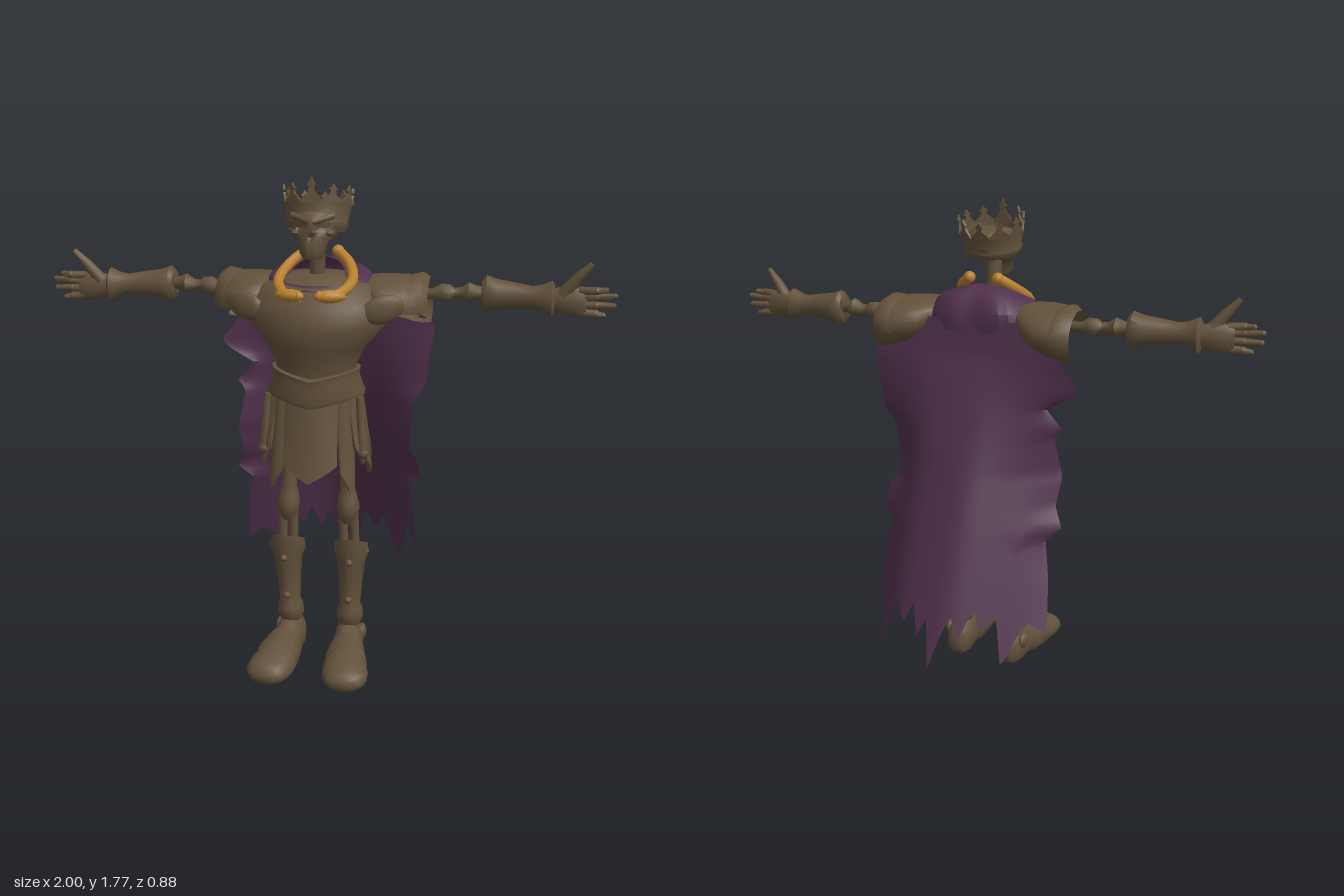
import * as THREE from 'three';
import { toCreasedNormals } from 'three/addons/utils/BufferGeometryUtils.js';

const V = (x, y, z) => new THREE.Vector3(x, y, z);
const material = (name, color) => new THREE.MeshStandardMaterial({ name, color, side: THREE.DoubleSide });

// Skin a grid of points; optional closing of the rows and end caps
function skin(rows, closed, caps) {
  const n = rows[0].length, m = rows.length, pts = rows.flat(), idx = [];
  for (let i = 0; i < m - 1; i++) for (let j = 0; j < (closed ? n : n - 1); j++) {
    const k = (j + 1) % n, a = i * n + j, b = i * n + k, c = b + n, d = a + n;
    idx.push(a, b, c, a, c, d);
  }
  if (caps) for (const [i, flip] of [[0, true], [m - 1, false]]) {
    const mid = V(0, 0, 0);
    rows[i].forEach(p => mid.addScaledVector(p, 1 / n));
    const c = pts.push(mid) - 1;
    for (let j = 0; j < n; j++) {
      const a = i * n + j, b = i * n + (j + 1) % n;
      flip ? idx.push(c, b, a) : idx.push(c, a, b);
    }
  }
  const g = new THREE.BufferGeometry().setFromPoints(pts);
  g.setIndex(idx);
  return g;
}

// Elliptic sections along an axis: [s, centre1, centre2, radius1, radius2], axes in cyclic order
function tube(axis, rows, n = 14, arc = null) {
  const k = 'xyz'.indexOf(axis);
  const [a0, a1] = arc || [0, Math.PI * 2];
  return skin(rows.map(([s, c1, c2, r1, r2 = r1]) => Array.from({ length: n }, (_, j) => {
    const a = a0 + (a1 - a0) * j / (arc ? n - 1 : n), p = V(0, 0, 0);
    p.setComponent(k, s);
    p.setComponent((k + 1) % 3, c1 + r1 * Math.cos(a));
    p.setComponent((k + 2) % 3, c2 + r2 * Math.sin(a));
    return p;
  })), !arc, !arc);
}

function bone(a, b, r1, r2 = r1) {
  const d = b.clone().sub(a), g = new THREE.CylinderGeometry(r2, r1, d.length(), 8);
  g.applyQuaternion(new THREE.Quaternion().setFromUnitVectors(V(0, 1, 0), d.clone().normalize()));
  return g.translate(...a.clone().add(b).multiplyScalar(0.5).toArray());
}

const ball = (x, y, z, rx, ry = rx, rz = rx) =>
  new THREE.SphereGeometry(1, 12, 8).scale(rx, ry, rz).translate(x, y, z);

function mirrored(g) {
  const m = g.clone().scale(-1, 1, 1);
  const ix = m.index ? [...m.index.array] : Array.from({ length: m.attributes.position.count }, (_, i) => i);
  for (let i = 0; i < ix.length; i += 3) [ix[i], ix[i + 1]] = [ix[i + 1], ix[i]];
  m.setIndex(ix);
  return m;
}

// Piecewise linear lookup in [key, value] pairs
function lookup(list, k) {
  if (k <= list[0][0]) return list[0][1];
  for (let i = 1; i < list.length; i++) if (k <= list[i][0]) {
    const [a, va] = list[i - 1], [b, vb] = list[i];
    return va + (vb - va) * (k - a) / (b - a);
  }
  return list[list.length - 1][1];
}

export function createModel() {
  const model = new THREE.Group();
  const bronze = material('tarnished bronze', 0x62513b);
  const purple = material('purple cloth', 0x50304b);
  const gold = material('old gold', 0xb8802f);
  const add = (name, g, mat = bronze) => {
    const mesh = new THREE.Mesh(toCreasedNormals(g, 0.85), mat);
    mesh.name = name;
    model.add(mesh);
  };
  const pair = (name, g, mat) => { add(name + 'Left', g, mat); add(name + 'Right', mirrored(g), mat); };

  // Skull with sunken eye sockets and nose
  const skull = tube('y', [[1.5, .235, 0, .035, .032], [1.52, .237, 0, .042, .043], [1.555, .222, 0, .052, .052],
    [1.572, .175, 0, .1, .072], [1.59, .166, 0, .11, .083], [1.605, .162, 0, .113, .086], [1.62, .16, 0, .115, .089],
    [1.635, .158, 0, .112, .09], [1.655, .155, 0, .1, .085], [1.67, .15, 0, .075, .065], [1.68, .15, 0, .03, .03]], 36);
  const sp = skull.attributes.position;
  for (let i = 0; i < sp.count; i++) {
    const p = V().fromBufferAttribute(sp, i);
    if (p.z < .2) continue;
    const eye = Math.exp(-(((Math.abs(p.x) - .038) / .016) ** 2 + ((p.y - 1.608) / .016) ** 2));
    const nose = Math.exp(-((p.x / .01) ** 2 + ((p.y - 1.572) / .012) ** 2));
    sp.setZ(i, p.z - .035 * eye - .02 * nose);
  }
  add('skull', skull);
  pair('brow', bone(V(.005, 1.622, .268), V(.07, 1.642, .232), .011));
  pair('cheekbone', ball(.056, 1.585, .225, .018, .012, .03));
  add('neck', tube('y', [[1.38, .145, 0, .03], [1.44, .155, 0, .026], [1.5, .16, 0, .028], [1.6, .165, 0, .03]]));

  // Tilted crown: flaring band and a ring of finials
  const place = g => g.rotateX(-.2).translate(0, 1.6, .157);
  add('crownBand', place(tube('y', [[-.015, 0, 0, .096], [.005, 0, 0, .106], [.015, 0, 0, .102], [.075, 0, 0, .116]], 31, [0, Math.PI * 2])));
  const finial = new THREE.Shape([[-.037, -.012], [.037, -.012], [.03, .002], [.012, .02], [.008, .034], [.016, .041], [.007, .05],
    [0, .066], [-.007, .05], [-.016, .041], [-.008, .034], [-.012, .02], [-.03, .002]].map(p => new THREE.Vector2(...p)));
  for (let i = 0; i < 10; i++) {
    const g = new THREE.ExtrudeGeometry(finial, { depth: .008, bevelEnabled: false });
    g.scale(1, i ? .8 : 1.1, 1).rotateX(.1).translate(0, .077, .108).rotateY(i * Math.PI / 5);
    add('crownFinial', place(g));
  }

  // Gold collar: two curved halves with heavy front ends
  const half = [[.03, 1.383, .298], [.09, 1.388, .278], [.126, 1.422, .19], [.1, 1.47, .105], [.058, 1.503, .068]];
  pair('collar', new THREE.TubeGeometry(new THREE.CatmullRomCurve3(half.map(p => V(...p))), 28, .019, 8), gold);
  pair('collarClasp', ball(0, 0, 0, .054, .022, .024).rotateY(.25).translate(.068, 1.383, .288), gold);
  pair('collarEnd', ball(.055, 1.504, .066, .022), gold);

  // Cuirass and belt
  add('cuirass', tube('y', [[1.07, .175, 0, .1, .135], [1.14, .18, 0, .1, .142], [1.2, .167, 0, .14, .175],
    [1.27, .16, 0, .163, .235], [1.34, .15, 0, .155, .245], [1.4, .14, 0, .125, .2], [1.44, .12, 0, .07, .1]], 28));
  const belt = tube('y', [[1.03, .18, 0, .112, .17], [1.045, .18, 0, .118, .172], [1.1, .178, 0, .108, .15], [1.125, .178, 0, .112, .155]], 28);
  const bp = belt.attributes.position;
  for (let i = 0; i < bp.count; i++) {
    const f = Math.max(0, 1 - Math.abs(bp.getX(i)) / .16);
    if (bp.getZ(i) > .19) bp.setXYZ(i, bp.getX(i), bp.getY(i) - .035 * f, bp.getZ(i) + .008 * f);
  }
  add('belt', belt);
  add('pelvis', ball(0, .99, .165, .12, .07, .07));

  // Skirt of hanging pointed plates
  function plate(angle, spread, length, lift = 0) {
    const g = new THREE.BoxGeometry(1, 1, .014, 4, 5, 1), p = g.attributes.position;
    for (let i = 0; i < p.count; i++) {
      const u = p.getX(i) * 2, v = .5 - p.getY(i), a = angle + u * spread * (1 - .15 * v);
      const grow = p.getZ(i) + lift + .012 * (1 - u * u);
      const rx = .145 + .035 * v + grow, rz = .095 + .045 * v + grow;
      p.setXYZ(i, rx * Math.sin(a), 1.05 - v * (length - .06 * Math.abs(u) * v), .175 + rz * Math.cos(a));
    }
    return g;
  }
  add('frontTasset', plate(0, .62, .31, .004));
  add('rearTasset', plate(Math.PI, .4, .29));
  [[.78, .34], [1.12, .25], [1.5, .3], [1.88, .26], [2.25, .31], [2.6, .27]].forEach(([a, l]) => pair('skirtStrip', plate(a, .19, l)));
  pair('skirtRod', bone(V(.16, 1.03, .23), V(.176, .84, .24), .013, .018));
  pair('skirtRodEnd', ball(.176, .835, .24, .02, .022, .02));

  // Shoulders: layered domed guards hanging lower behind
  const arc = [-2.55, 1.75];
  pair('shoulderGuard', tube('x', [[.16, 1.375, .07, .05, .1], [.2, 1.355, .07, .075, .15], [.25, 1.34, .067, .09, .168],
    [.3, 1.333, .055, .095, .158], [.325, 1.33, .045, .09, .145]], 20, arc));
  pair('shoulderRim', tube('x', [[.275, 1.33, .05, .085, .148], [.31, 1.33, .045, .098, .15], [.345, 1.33, .035, .105, .135], [.372, 1.325, .025, .092, .11]], 20, arc));
  pair('shoulderFrontPlate', ball(0, 0, 0, .075, .048, .02).rotateZ(.3).rotateY(.25).translate(.235, 1.335, .23));

  // Arms: bare bones, elbow knuckles, flared gauntlets
  pair('upperArm', tube('x', [[.18, 1.37, .03, .03], [.3, 1.365, .03, .02], [.38, 1.36, .03, .018], [.41, 1.365, .03, .032],
    [.44, 1.365, .03, .03], [.455, 1.365, .03, .018], [.48, 1.365, .03, .022], [.505, 1.37, .03, .035], [.53, 1.37, .03, .024], [.57, 1.37, .03, .02]], 10));
  pair('gauntlet', tube('x', [[.55, 1.365, .03, .052, .045], [.565, 1.365, .03, .066, .054], [.6, 1.365, .032, .054, .049], [.66, 1.365, .038, .045, .04],
    [.72, 1.362, .045, .038, .034], [.75, 1.36, .049, .046, .04], [.785, 1.358, .05, .064, .046], [.795, 1.358, .05, .045, .035]], 14));
  pair('palm', tube('x', [[.78, 1.357, .052, .036, .026], [.83, 1.357, .058, .05, .027], [.88, 1.352, .063, .05, .023], [.9, 1.352, .064, .042, .017]], 12));
  [[1.392, .96, 1.397], [1.37, .99, 1.378], [1.345, .987, 1.346], [1.32, .955, 1.312]].forEach(([y0, x, y], i) => {
    const knuckle = V(.93, (y0 + y) / 2, .075 - i * .003), tip = V(x, y, .07);
    pair('finger', bone(V(.875, y0, .064), knuckle, .015, .014));
    pair('fingerKnuckle', ball(...knuckle.toArray(), .0145));
    pair('fingerEnd', bone(knuckle, tip, .013, .01));
    pair('fingerTip', ball(...tip.toArray(), .0105));
  });
  pair('thumb', bone(V(.82, 1.375, .06), V(.87, 1.44, .072), .025, .018));
  pair('thumbEnd', bone(V(.868, 1.437, .072), V(.91, 1.484, .08), .018, .01));

  // Legs: thigh bone, knee, shin bones, greave
  pair('thigh', tube('y', [[.54, .15, .11, .024], [.57, .152, .11, .038, .034], [.6, .152, .11, .045, .042], [.635, .15, .108, .036],
    [.67, .15, .107, .027], [.8, .155, .105, .028], [.98, .16, .1, .034]], 10));
  [.095, .135].forEach(x => pair('shinBone', bone(V(x, .42, .145), V(x - .005, .58, .15), .017)));
  const greave = tube('y', [[.13, .12, .112, .04, .038], [.16, .12, .112, .056, .05], [.19, .122, .113, .056, .046], [.21, .124, .113, .047, .038],
    [.3, .127, .116, .054, .043], [.39, .128, .118, .062, .052], [.42, .13, .118, .073, .065], [.46, .13, .118, .075, .06]], 16);
  const gp = greave.attributes.position;
  for (let i = 0; i < gp.count; i++) if (gp.getY(i) > .41) gp.setY(i, gp.getY(i) + (gp.getZ(i) - .13) * .45);
  pair('greave', greave);
  [[.12, .4, .192], [.115, .245, .174], [.172, .43, .14]].forEach(p => pair('greaveStud', ball(...p, .014)));

  // Armoured feet in overlapping plates, flat underneath
  const foot = tube('z', [[.04, .108, .055, .022, .035], [.06, .108, .058, .042, .07], [.11, .11, .065, .054, .088], [.16, .113, .062, .054, .08],
    [.2, .118, .055, .058, .07], [.205, .118, .055, .066, .077], [.28, .126, .05, .078, .075], [.285, .126, .047, .072, .067], [.33, .132, .044, .084, .057],
    [.38, .138, .04, .08, .047], [.415, .138, .038, .06, .033], [.43, .135, .038, .035, .018]], 16);
  const fp = foot.attributes.position;
  for (let i = 0; i < fp.count; i++) fp.setY(i, Math.max(0, fp.getY(i)));
  pair('foot', foot);
  pair('ankleGuard', ball(.155, .09, .105, .018, .032, .032));

  // Shoulder drape with a heart-shaped back edge
  const ring = (rx, zc, rz, y, slope, notch) => Array.from({ length: 36 }, (_, j) => {
    const a = j / 36 * Math.PI * 2, c = Math.cos(a), s = Math.sin(a);
    return V(rx * s, y - slope * c, zc + rz * c + notch * Math.exp(-((a - Math.PI) ** 2) / .08));
  });
  add('shoulderDrape', skin([ring(.22, .08, .145, 1.34, -.01, .02), ring(.21, .08, .16, 1.39, .01, .035), ring(.17, .105, .145, 1.435, .025, .03),
    ring(.12, .15, .12, 1.44, .045, .01), ring(.095, .17, .105, 1.43, .055, 0)], true, false), purple);

  // Ragged cape: torn sides by depth, torn hem by width
  const top = [[-.1, .2], [0, .31]];
  const leftEdge = [[-.1, .2], [0, .31], [.04, .385], [.2, .365], [.29, .36], [.33, .32], [.55, .3], [.6, .33], [.68, .34], [.72, .3], [.85, .31], [1, .32]];
  const rightEdge = [[-.1, .2], [0, .31], [.08, .36], [.14, .41], [.19, .35], [.22, .28], [.3, .34], [.34, .31], [.5, .34], [.6, .33], [.68, .365], [.72, .31], [.85, .34], [1, .36]];
  const hem = [[-1, .3], [-.9, .34], [-.83, .3], [-.74, .2], [-.64, .38], [-.5, .33], [-.42, .41], [-.3, .3], [-.2, .38], [-.12, .33], [0, .2],
    [.1, .36], [.2, .3], [.3, .4], [.42, .32], [.54, .39], [.6, .36], [.74, .2], [.84, .32], [.9, .42], [1, .28]];
  const cape = [];
  for (let i = 0; i <= 44; i++) {
    const t = -.1 + 1.1 * i / 44;
    cape.push(Array.from({ length: 61 }, (_, j) => {
      const u = j / 30 - 1, w = lookup(top, t), torn = lookup(u > 0 ? leftEdge : rightEdge, t) - w;
      const y = 1.28 - t * .92 + Math.max(0, t) ** 6 * (lookup(hem, u) - .36), drop = Math.max(0, 1.24 - y);
      const back = -.06 - .375 * drop + .12 * Math.max(0, y - 1.24);
      return V(u * (w + torn * u ** 6), y, back + u * u * .2 * Math.min(1, drop / .4) + .004 * Math.sin(u * 9) * Math.min(1, drop * 2));
    }));
  }
  add('cape', skin(cape, false, false), purple);
  return model;
}
